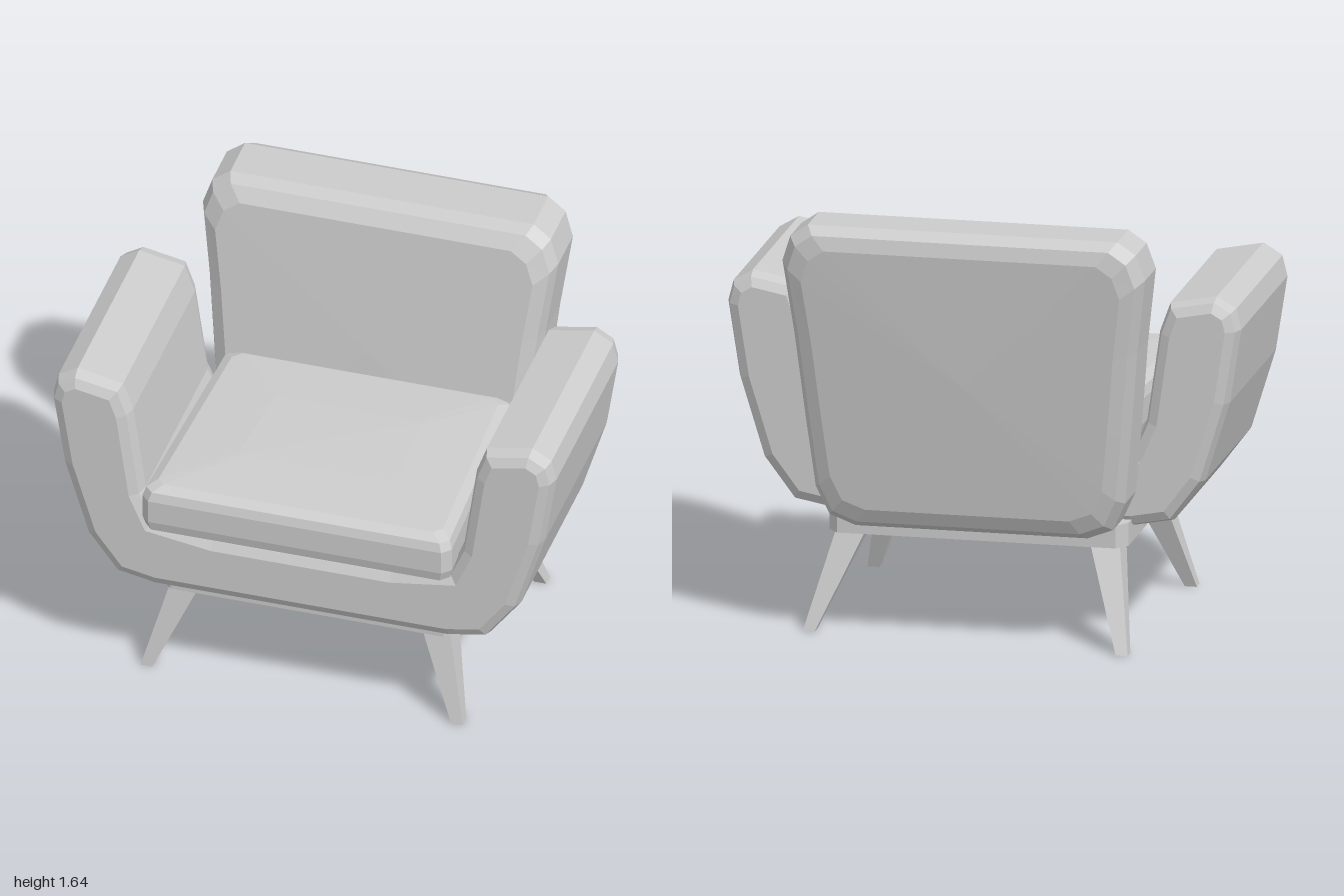
import * as THREE from 'three';

const material = new THREE.MeshStandardMaterial({ color: 0xcccccc, flatShading: true });

function add(parent, name, geometry) {
  const mesh = new THREE.Mesh(geometry, material);
  mesh.name = name;
  parent.add(mesh);
  return mesh;
}

// Right half of an outline, listed bottom to top, completed by mirroring
const mirrored = (half) => [...half, ...half.map(([x, y]) => [-x, y]).reverse()];

// Convex padded form: outline rings inset per layer [inset, z], closed by crowned caps
function pillow(outline, layers, crown) {
  const box = new THREE.Box2().setFromPoints(outline.map(([x, y]) => new THREE.Vector2(x, y)));
  const centre = box.getCenter(new THREE.Vector2());
  const size = box.getSize(new THREE.Vector2());
  const n = outline.length;
  const pos = [], index = [];
  for (const [inset, z] of layers) {
    for (const [x, y] of outline) {
      pos.push(
        centre.x + (x - centre.x) * (1 - 2 * inset / size.x),
        centre.y + (y - centre.y) * (1 - 2 * inset / size.y), z);
    }
  }
  const last = layers.length - 1, first = n * layers.length;
  pos.push(centre.x, centre.y, layers[0][1] - crown, centre.x, centre.y, layers[last][1] + crown);
  for (let j = 0; j < n; j++) {
    const k = (j + 1) % n;
    for (let i = 0; i < last; i++) {
      const a = i * n + j, b = i * n + k;
      index.push(a, b, b + n, a, b + n, a + n);
    }
    index.push(k, j, first, last * n + j, last * n + k, first + 1);
  }
  const g = new THREE.BufferGeometry();
  g.setAttribute('position', new THREE.Float32BufferAttribute(pos, 3));
  g.setIndex(index);
  const flat = g.toNonIndexed();
  flat.computeVertexNormals();
  return flat;
}

// Tapered square leg from a top centre to a foot centre
function legGeometry(top, foot) {
  const g = new THREE.BoxGeometry(1, 1, 1);
  const p = g.attributes.position;
  for (let i = 0; i < p.count; i++) {
    const end = p.getY(i) > 0 ? top : foot;
    const width = p.getY(i) > 0 ? 0.115 : 0.047;
    p.setXYZ(i, end[0] + p.getX(i) * width, end[1], end[2] + p.getZ(i) * width);
  }
  g.computeVertexNormals();
  return g;
}

export function createModel() {
  const chair = new THREE.Group();
  chair.name = 'armchair';

  // One U-shaped shell forms the seat base and both arms
  const outer = [[0, 0.43], [0.58, 0.43], [0.735, 0.46], [0.855, 0.62], [0.95, 0.93],
    [0.995, 1.22], [0.975, 1.3], [0.9, 1.345], [0.72, 1.31], [0.68, 1.2],
    [0.63, 0.85], [0.58, 0.735], [0.35, 0.7]];
  const shell = new THREE.Shape(mirrored(outer).slice(0, -1).map(([x, y]) => new THREE.Vector2(x, y)));
  const bevel = 0.065;
  const shellGeometry = new THREE.ExtrudeGeometry(shell, {
    depth: 0.93 - 2 * bevel, bevelEnabled: true, bevelThickness: bevel,
    bevelSize: 0.05, bevelOffset: -0.05, bevelSegments: 2,
  });
  shellGeometry.translate(0, 0, -0.31 + bevel);
  add(chair, 'armsAndSeatBase', shellGeometry);

  // Backrest, sheared so that it leans backwards
  const backOutline = mirrored([[0.45, 0.43], [0.55, 0.47], [0.6, 0.58], [0.63, 0.85],
    [0.665, 1.2], [0.703, 1.49], [0.67, 1.59], [0.6, 1.64]]);
  const back = pillow(backOutline,
    [[0.085, -0.175], [0.03, -0.155], [0, -0.1], [0, 0.09], [0.02, 0.14], [0.075, 0.172]], 0.01);
  const bp = back.attributes.position;
  for (let i = 0; i < bp.count; i++) {
    bp.setZ(i, bp.getZ(i) - 0.478 - 0.13 * (bp.getY(i) - 1.2));
  }
  back.computeVertexNormals();
  add(chair, 'backrest', back);

  // Loose seat cushion, slightly narrower at the rear and crowned on top
  const seatOutline = mirrored([[0.58, -0.695], [0.612, -0.66], [0.575, 0.27], [0.54, 0.31]]);
  const cushion = pillow(seatOutline,
    [[0.05, 0.735], [0.01, 0.75], [0, 0.79], [0, 0.885], [0.012, 0.92], [0.05, 0.94], [0.3, 0.957]], 0.006);
  cushion.rotateX(-Math.PI / 2);
  add(chair, 'seatCushion', cushion);

  // Base plate with chamfered corners
  const plate = new THREE.Shape(mirrored([[0.54, -0.53], [0.58, -0.49], [0.58, 0.35], [0.54, 0.4]])
    .map(([x, y]) => new THREE.Vector2(x, y)));
  const plateGeometry = new THREE.ExtrudeGeometry(plate, { depth: 0.09, bevelEnabled: false });
  plateGeometry.rotateX(-Math.PI / 2).translate(0, 0.375, 0);
  add(chair, 'basePlate', plateGeometry);

  // Splayed legs, each foot set at its own slight angle
  const legs = {
    frontLeftLeg: [[0.49, 0.42], [0.6, 0.533]],
    frontRightLeg: [[-0.495, 0.42], [-0.635, 0.51]],
    rearLeftLeg: [[0.495, -0.295], [0.635, -0.44]],
    rearRightLeg: [[-0.49, -0.3], [-0.6, -0.537]],
  };
  for (const [name, [top, foot]] of Object.entries(legs)) {
    add(chair, name, legGeometry([top[0], 0.38, top[1]], [foot[0], 0, foot[1]]));
  }
  return chair;
}
